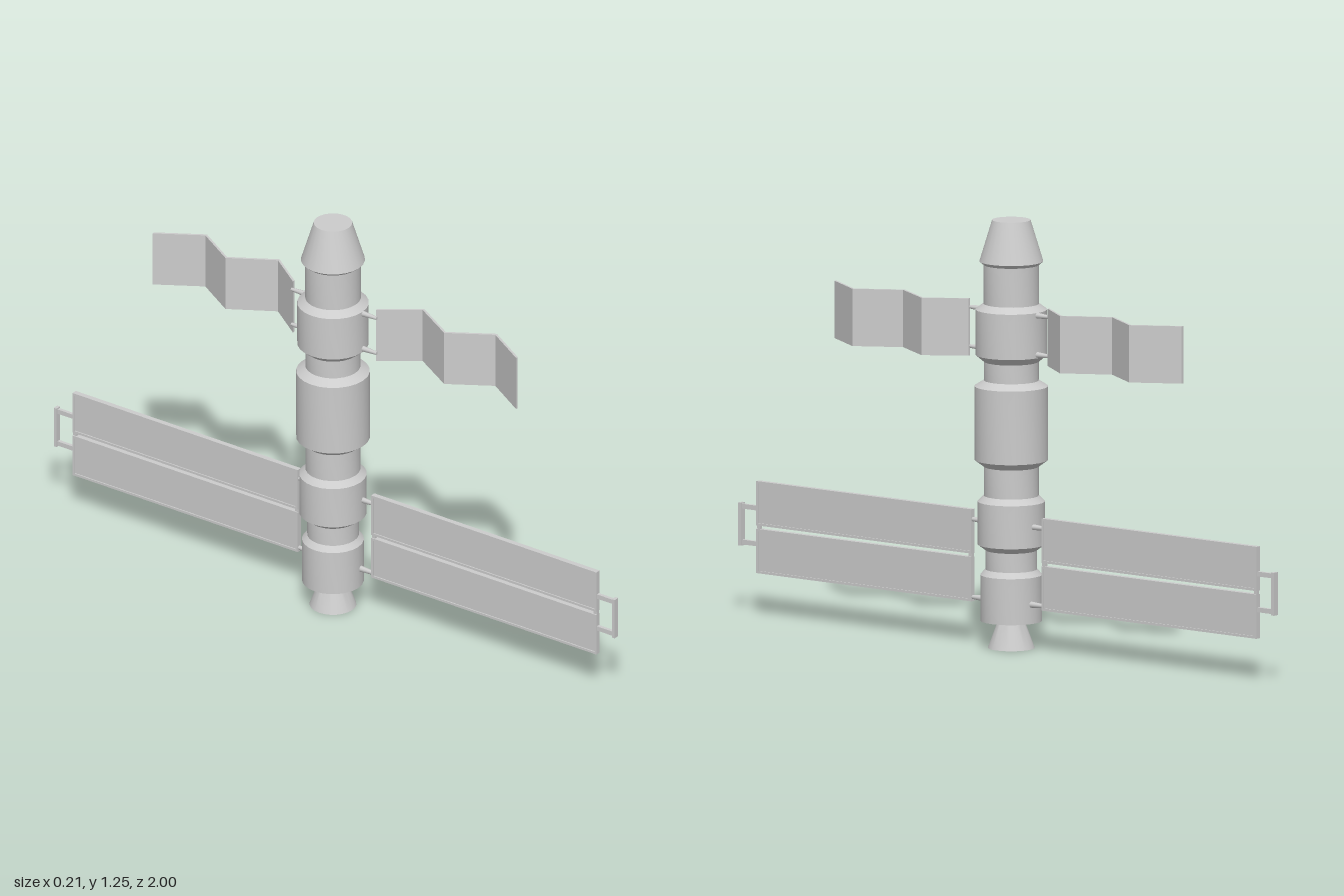
import * as THREE from 'three';
import { toCreasedNormals } from 'three/addons/utils/BufferGeometryUtils.js';

const material = new THREE.MeshStandardMaterial({ color: 0xcccccc });

function add(parent, name, geometry, x = 0, y = 0, z = 0) {
  const mesh = new THREE.Mesh(geometry, material);
  mesh.name = name;
  mesh.position.set(x, y, z);
  parent.add(mesh);
  return mesh;
}

const box = (w, h, d) => new THREE.BoxGeometry(w, h, d);

function lathe(points) {
  const profile = points.map(([r, y]) => new THREE.Vector2(r, y));
  return toCreasedNormals(new THREE.LatheGeometry(profile, 24), 0.5);
}

// Rod lying along z between z0 and z1
function rod(parent, name, x, y, z0, z1, r0, r1) {
  const geometry = new THREE.CylinderGeometry(r1, r0, z1 - z0, 10);
  geometry.rotateX(Math.PI / 2);
  add(parent, name, geometry, x, y, (z0 + z1) / 2);
}

// Rectangular frame in the y-z plane, thickness along x
function frame(height, length, border, thickness) {
  const rect = (path, h, l) => path
    .moveTo(-l / 2, -h / 2).lineTo(l / 2, -h / 2)
    .lineTo(l / 2, h / 2).lineTo(-l / 2, h / 2).closePath();
  const shape = rect(new THREE.Shape(), height, length);
  shape.holes.push(rect(new THREE.Path(), height - 2 * border, length - 2 * border));
  const geometry = new THREE.ExtrudeGeometry(shape, { depth: thickness, bevelEnabled: false });
  geometry.translate(0, 0, -thickness / 2);
  return geometry.rotateY(Math.PI / 2);
}

// Zigzag folding panel, a thin strip extruded upwards
function foldedPanel() {
  const folds = [[0.011, 0.148], [0.09, 0.258], [0.013, 0.39], [0.09, 0.517], [0.011, 0.648]];
  const t = 0.004;
  const outline = [
    ...folds.map(([x, z]) => new THREE.Vector2(x + t, -z)),
    ...folds.reverse().map(([x, z]) => new THREE.Vector2(x - t, -z)),
  ];
  const geometry = new THREE.ExtrudeGeometry(new THREE.Shape(outline), { depth: 0.168, bevelEnabled: false });
  return geometry.rotateX(-Math.PI / 2);
}

// Everything on one side, reaching out along +z
function createWing(name) {
  const wing = new THREE.Group();
  wing.name = name;

  // Upper folding radiator with its two mounts
  add(wing, 'foldedRadiator', foldedPanel(), 0, 0.843, 0);
  for (const y of [0.87, 0.985]) rod(wing, 'radiatorMount', 0.006, y, 0.07, 0.152, 0.011, 0.005);

  // Lower pair of long framed solar panels
  const px = 0.015;
  for (const y of [0.19, 0.33]) {
    add(wing, 'solarPanelFrame', frame(0.13, 0.803, 0.007, 0.016), px, y, 0.5325);
    add(wing, 'solarPanel', box(0.009, 0.12, 0.793), px, y, 0.5325);
  }
  for (const y of [0.137, 0.365]) {
    rod(wing, 'solarPanelMount', px, y, 0.06, 0.135, 0.011, 0.006);
  }

  // Handle at the outer end
  for (const y of [0.21, 0.315]) add(wing, 'handleArm', box(0.01, 0.014, 0.065), px, y, 0.962);
  add(wing, 'handleBar', box(0.018, 0.126, 0.01), px, 0.2625, 0.995);
  // Short bridge tying both panels together at each end
  for (const z of [0.137, 0.928]) add(wing, 'panelBridge', box(0.009, 0.03, 0.012), px, 0.26, z);
  return wing;
}

export function createModel() {
  const model = new THREE.Group();
  model.name = 'spaceStation';

  // Engine bell, hollow from below
  add(model, 'engineBell', lathe([[0, 0.06], [0.034, 0.06], [0.056, 0], [0.068, 0], [0.038, 0.082]]));

  // Stacked pressure modules
  add(model, 'lowerModule', lathe([
    [0, 0.08], [0.09, 0.08], [0.09, 0.215], [0.075, 0.231], [0.075, 0.287],
    [0.098, 0.304], [0.098, 0.43], [0.08, 0.447], [0.08, 0.532],
  ]));
  add(model, 'mainModule', lathe([
    [0.08, 0.532], [0.107, 0.552], [0.107, 0.768], [0.08, 0.785], [0.08, 0.84],
  ]));
  add(model, 'upperModule', lathe([
    [0.08, 0.84], [0.104, 0.86], [0.104, 0.993], [0.081, 1.01], [0.081, 1.124],
  ]));
  add(model, 'noseCone', lathe([
    [0.081, 1.124], [0.093, 1.134], [0.056, 1.255], [0, 1.255],
  ]));

  // Wings mirrored front to back
  model.add(createWing('frontWing'));
  const back = createWing('backWing');
  back.scale.z = -1;
  model.add(back);
  return model;
}
